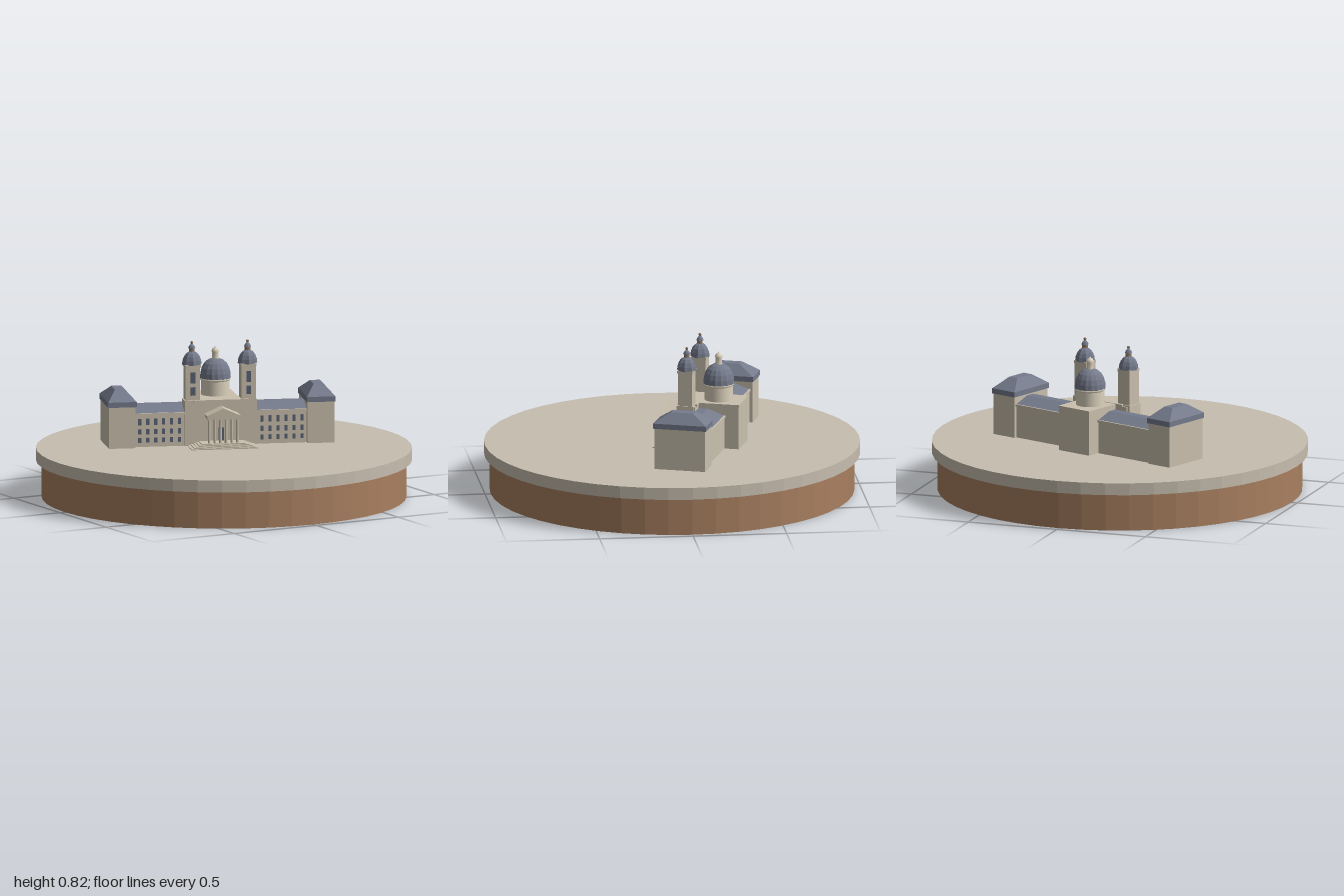
import * as THREE from 'three';

const mat = (name, color, extra = {}) => {
  const m = new THREE.MeshStandardMaterial({ color, ...extra });
  m.name = name;
  return m;
};

export function createModel() {
  const earth = mat('earth brown', 0xa87f60, { flatShading: true });
  const paving = mat('paving', 0xc6bdae, { flatShading: true });
  const stone = mat('wall stone', 0xcac0ae);
  const cream = mat('pale stone', 0xddd3be);
  const slate = mat('slate roof', 0x757b8c, { flatShading: true });
  const glass = mat('window glass', 0x596275);
  const bronze = mat('bronze', 0x8f7763);

  const model = new THREE.Group();
  model.name = 'palaceOnDisc';
  const palace = new THREE.Group();
  palace.name = 'palace';
  palace.position.set(0.06, 0, -0.178);
  palace.rotation.y = -Math.PI / 9;
  model.add(palace);

  const add = (name, geo, m, x = 0, y = 0, z = 0, parent = palace) => {
    const mesh = new THREE.Mesh(geo, m);
    mesh.name = name;
    mesh.position.set(x, y, z);
    parent.add(mesh);
    return mesh;
  };
  // Box given by its centre in x and z and its bottom and top heights
  const box = (name, m, w, d, y0, y1, x = 0, z = 0, parent = palace) =>
    add(name, new THREE.BoxGeometry(w, y1 - y0, d), m, x, (y0 + y1) / 2, z, parent);
  // Hipped roof: a box whose upper corners are drawn in to a smaller rectangle
  const hip = (name, m, w, d, topW, topD, y0, y1, x, z) => {
    const mesh = box(name, m, w, d, y0, y1, x, z);
    const p = mesh.geometry.attributes.position;
    for (let i = 0; i < p.count; i++) {
      if (p.getY(i) > 0) p.setXYZ(i, p.getX(i) * topW / w, p.getY(i), p.getZ(i) * topD / d);
    }
    mesh.geometry.computeVertexNormals();
    return mesh;
  };
  const lathe = (name, m, pts, segs, x, z, parent = palace) =>
    add(name, new THREE.LatheGeometry(pts.map(([r, y]) => new THREE.Vector2(r, y)), segs), m, x, 0, z, parent);
  // Ribbed dome: every second meridian is set slightly inwards
  const ribbed = (name, pts, ribs, inset, x, z, parent) => {
    const mesh = lathe(name, slate, pts, ribs * 2, x, z, parent);
    const p = mesh.geometry.attributes.position;
    for (let i = 0; i < p.count; i++) {
      const k = Math.floor(i / pts.length) % 2 ? inset : 1;
      p.setXYZ(i, p.getX(i) * k, p.getY(i), p.getZ(i) * k);
    }
    mesh.geometry.computeVertexNormals();
  };

  // Round ground plate
  add('earthBase', new THREE.CylinderGeometry(0.97, 0.97, 0.2, 48), earth, 0, 0.1, 0, model);
  add('pavedDisc', new THREE.CylinderGeometry(1, 1, 0.065, 48), paving, 0, 0.2325, 0, model);
  const G = 0.265;

  for (const s of [-1, 1]) {
    // End pavilion
    box('pavilionWall', stone, 0.144, 0.277, G, 0.487, s * 0.535);
    box('pavilionEave', slate, 0.154, 0.288, 0.487, 0.515, s * 0.535);
    hip('pavilionRoof', slate, 0.154, 0.288, 0.055, 0.12, 0.515, 0.57, s * 0.535, 0);

    // Wing with cornice, pitched roof and three rows of windows
    box('wingWall', stone, 0.38, 0.23, G, 0.435, s * 0.28, -0.007);
    box('wingCornice', stone, 0.38, 0.245, 0.435, 0.447, s * 0.28, -0.007);
    hip('wingRoof', slate, 0.38, 0.226, 0.38, 0.05, 0.447, 0.478, s * 0.28, -0.007);
    for (let c = 0; c < 6; c++) {
      for (const [y, h] of [[0.4, 0.034], [0.347, 0.028], [0.301, 0.026]]) {
        box('wingWindow', glass, 0.017, 0.006, y - h / 2, y + h / 2, s * (0.222 + c * 0.043), 0.109);
      }
    }

    // Bell tower
    const tower = new THREE.Group();
    tower.name = 'bellTower';
    tower.position.set(s * 0.15, 0, 0.072);
    palace.add(tower);
    box('towerBase', stone, 0.09, 0.09, G, 0.508, 0, 0, tower);
    box('towerShaft', stone, 0.078, 0.078, 0.508, 0.69, 0, 0, tower);
    box('towerCornice', stone, 0.084, 0.084, 0.685, 0.7, 0, 0, tower);
    box('belfryOpening', glass, 0.024, 0.006, 0.6, 0.66, 0, 0.04, tower);
    box('towerWindow', glass, 0.024, 0.006, 0.535, 0.58, 0, 0.04, tower);
    ribbed('towerDome', [[0, 0.697], [0.053, 0.697], [0.05, 0.72], [0.042, 0.742],
      [0.03, 0.758], [0.014, 0.768]], 8, 0.9, 0, 0, tower);
    lathe('towerLantern', bronze, [[0.015, 0.765], [0.015, 0.785]], 8, 0, 0, tower);
    lathe('towerCap', slate, [[0.014, 0.783], [0.02, 0.785], [0.014, 0.798], [0.004, 0.808], [0, 0.81]], 8, 0, 0, tower);
    add('towerFinial', new THREE.SphereGeometry(0.008, 8, 6), bronze, 0, 0.815, 0, tower);
  }

  // Central church block and its facade between the towers
  box('centralBlock', stone, 0.206, 0.22, G, 0.503, 0, -0.09);
  box('centralCornice', stone, 0.212, 0.226, 0.495, 0.508, 0, -0.09);
  box('facade', stone, 0.36, 0.1, G, 0.5, 0, 0.07);
  box('facadeCornice', stone, 0.3, 0.106, 0.497, 0.51, 0, 0.07);

  // Great dome on its drum, with a lantern
  lathe('domeDrum', cream, [[0.076, 0.505], [0.076, 0.592]], 32, 0, -0.067);
  lathe('drumCornice', cream, [[0.074, 0.583], [0.081, 0.588], [0.081, 0.598], [0.07, 0.6]], 32, 0, -0.067);
  ribbed('greatDome', [[0.05, 0.597], [0.083, 0.597], [0.081, 0.625], [0.074, 0.652],
    [0.06, 0.677], [0.04, 0.694], [0.016, 0.703]], 16, 0.97, 0, -0.067);
  lathe('domeLantern', cream, [[0.022, 0.698], [0.018, 0.704], [0.018, 0.738], [0.022, 0.74],
    [0.017, 0.753], [0.006, 0.76], [0, 0.768]], 12, 0, -0.067);

  // Entrance steps
  for (let i = 0; i < 5; i++) {
    const front = 0.252 - i * 0.01;
    box('step', stone, 0.36 - i * 0.03, front - 0.1, G, G + 0.005 * (i + 1), 0, (front + 0.1) / 2);
  }

  // Portico with six columns and a pediment
  for (let i = 0; i < 6; i++) {
    const x = -0.076 + i * 0.0304;
    add('column', new THREE.CylinderGeometry(0.0065, 0.0075, 0.13, 12), stone, x, 0.355, 0.192);
    box('columnCapital', stone, 0.017, 0.017, 0.415, 0.422, x, 0.192);
  }
  box('porticoDoor', glass, 0.03, 0.006, 0.29, 0.36, 0, 0.122);
  box('entablature', stone, 0.174, 0.085, 0.42, 0.438, 0, 0.162);
  const gable = new THREE.Shape([[-0.09, 0], [0.09, 0], [0, 0.04]].map(([x, y]) => new THREE.Vector2(x, y)));
  add('pediment', new THREE.ExtrudeGeometry(gable, { depth: 0.088, bevelEnabled: false }), stone, 0, 0.438, 0.119);

  return model;
}
